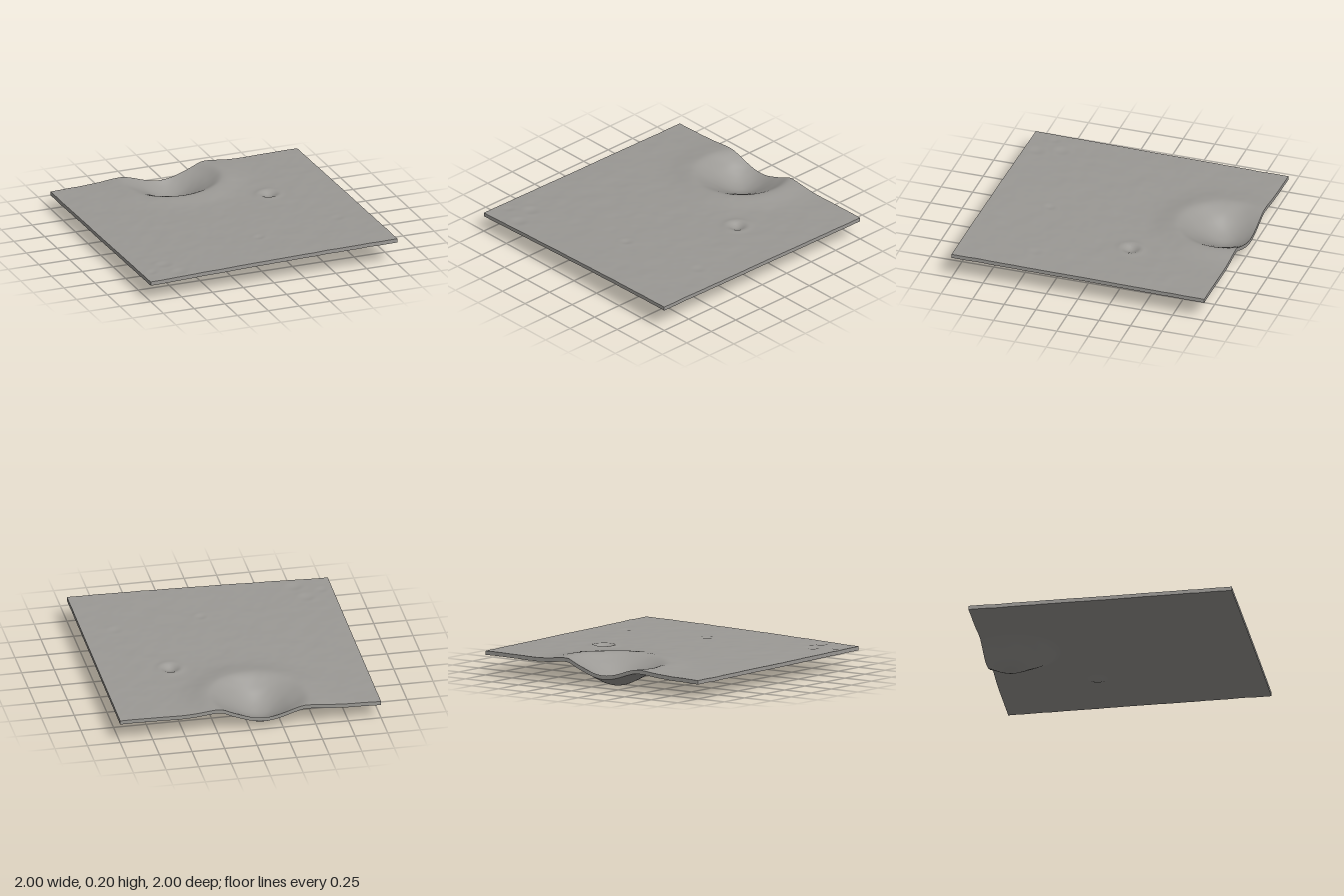
import * as THREE from 'three';

const SEG = 100, THICK = 0.03;

// Small craters: x, z, radius, depth
const PITS = [
  [0.46, -0.24, 0.085, 0.026], [-0.78, 0.72, 0.07, 0.006], [0.07, 0.53, 0.05, 0.006],
  [0.75, 0.42, 0.06, 0.004], [-0.72, 0.9, 0.07, 0.005], [-0.92, 0.82, 0.05, 0.004],
];

// Smooth seeded value noise
const hash = (i, j) => {
  const s = Math.sin(i * 127.1 + j * 311.7) * 43758.5453;
  return s - Math.floor(s) - 0.5;
};
function noise(x, z) {
  const i = Math.floor(x), j = Math.floor(z);
  const ease = (t) => t * t * (3 - 2 * t);
  const u = ease(x - i), v = ease(z - j);
  const a = THREE.MathUtils.lerp(hash(i, j), hash(i + 1, j), u);
  const b = THREE.MathUtils.lerp(hash(i, j + 1), hash(i + 1, j + 1), u);
  return THREE.MathUtils.lerp(a, b, v);
}

const bowl = (r, radius) => (r < radius ? 0.5 + 0.5 * Math.cos(Math.PI * r / radius) : 0);

// Height of the upper surface
function height(x, z) {
  let y = 0.176 + 0.023 * x - 0.006 * x * x + 0.01 * z;
  // large crater, cut by the back edge, with a raised uneven rim
  const dx = x + 0.1, dz = z + 0.81, r = Math.hypot(dx, dz);
  y -= 0.135 * bowl(r, 0.385);
  const rim = 0.02 + 0.007 * dx / Math.max(r, 0.05);
  y += rim * Math.exp(-(((r - 0.39) / (r < 0.39 ? 0.07 : 0.13)) ** 2));
  // small craters with faint rims
  for (const [px, pz, radius, depth] of PITS) {
    const d = Math.hypot(x - px, z - pz);
    y -= depth * bowl(d, radius);
    y += depth * 0.2 * Math.exp(-(((d - radius) / (radius * 0.3)) ** 2));
  }
  // gentle roughness
  return y + 0.003 * noise(x * 9 + z * 4, z * 9 - x * 4) + 0.0015 * noise(x * 22, z * 22);
}

// Grid following the terrain, facing up or down
function sheet(down) {
  const geo = new THREE.PlaneGeometry(2, 2, SEG, SEG);
  geo.rotateX(down ? Math.PI / 2 : -Math.PI / 2);
  const p = geo.attributes.position;
  for (let i = 0; i < p.count; i++) {
    p.setY(i, height(p.getX(i), p.getZ(i)) - (down ? THICK : 0));
  }
  geo.computeVertexNormals();
  return geo;
}

// Thin wall closing one edge, built along x and turned to its side
function wall(angle) {
  const geo = new THREE.PlaneGeometry(2, THICK, SEG, 1);
  geo.translate(0, 0, 1);
  geo.rotateY(angle);
  const p = geo.attributes.position;
  for (let i = 0; i < p.count; i++) {
    p.setY(i, height(p.getX(i), p.getZ(i)) - (p.getY(i) < 0 ? THICK : 0));
  }
  geo.computeVertexNormals();
  return geo;
}

export function createModel() {
  const group = new THREE.Group();
  group.name = 'crateredTerrain';
  const rock = new THREE.MeshStandardMaterial({ color: 0x9b9995 });
  rock.name = 'grey rock';

  const add = (name, geo) => {
    const mesh = new THREE.Mesh(geo, rock);
    mesh.name = name;
    group.add(mesh);
  };
  add('surface', sheet(false));
  add('underside', sheet(true));
  ['frontEdge', 'leftEdge', 'backEdge', 'rightEdge'].forEach((name, i) => add(name, wall(i * Math.PI / 2)));

  // Rest the lowest point on the ground
  group.position.y = -new THREE.Box3().setFromObject(group).min.y;
  return group;
}
